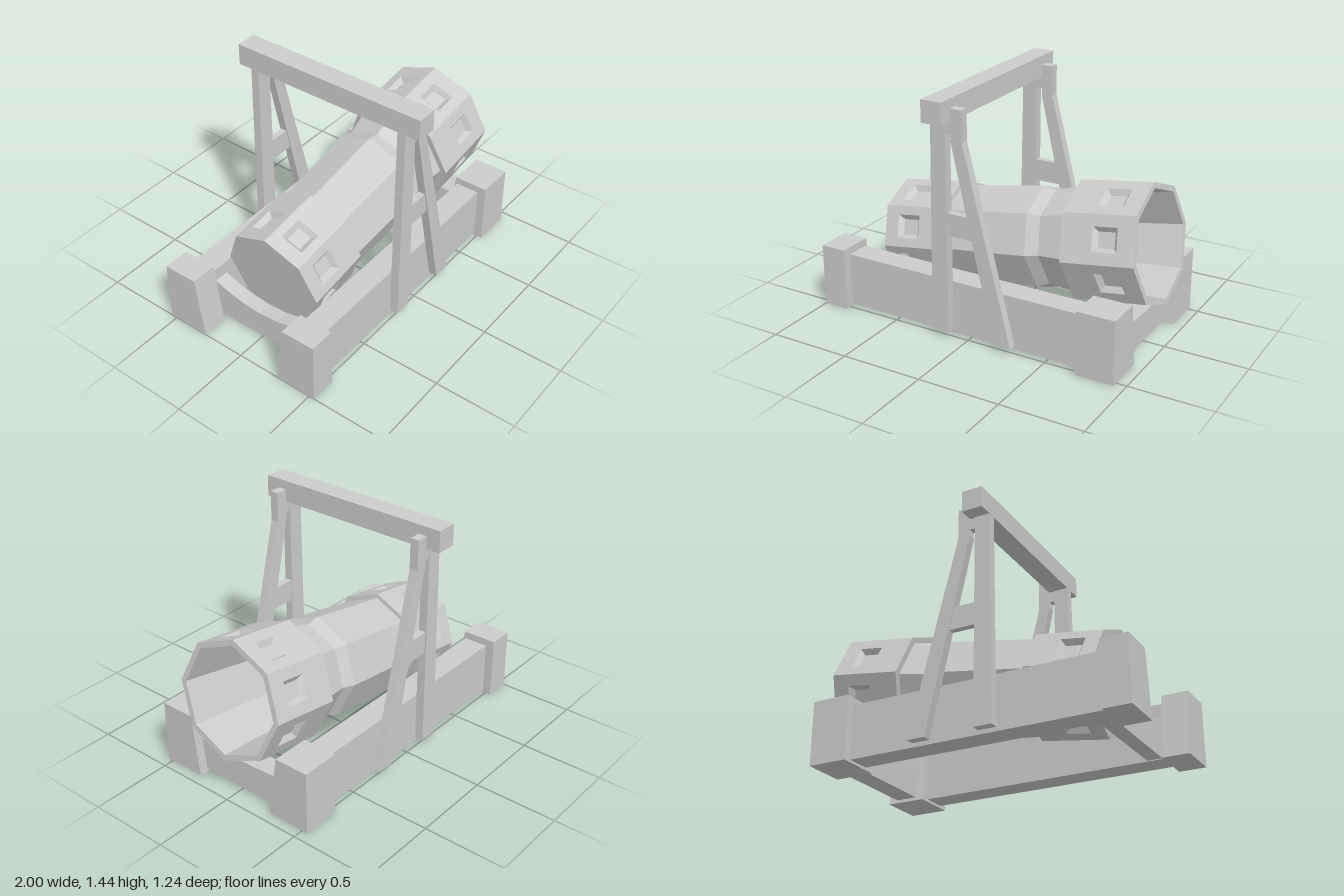
import * as THREE from 'three';

export function createModel() {
  const mat = new THREE.MeshStandardMaterial({ color: 0xcccccc, flatShading: true });
  const model = new THREE.Group();
  model.name = 'mortarOnCarriage';

  const add = (parent, name, geometry) => {
    const mesh = new THREE.Mesh(geometry, mat);
    mesh.name = name;
    parent.add(mesh);
    return mesh;
  };
  // box from its limits
  const box = (name, x0, x1, y0, y1, z0, z1) => {
    const g = new THREE.BoxGeometry(x1 - x0, y1 - y0, z1 - z0);
    g.translate((x0 + x1) / 2, (y0 + y1) / 2, (z0 + z1) / 2);
    return add(model, name, g);
  };
  const prism = (points, depth) => new THREE.ExtrudeGeometry(
    new THREE.Shape(points.map(p => new THREE.Vector2(...p))), { depth, bevelEnabled: false });

  // ---- barrel: eight-sided, built upright along y and then tipped over ----
  const barrel = new THREE.Group();
  barrel.name = 'barrel';
  barrel.position.set(-0.70, 0.367, 0);
  barrel.rotation.z = -THREE.MathUtils.degToRad(81.2);
  model.add(barrel);
  const lathe = (name, pts) => add(barrel, name,
    new THREE.LatheGeometry(pts.map(p => new THREE.Vector2(...p)), 8));

  lathe('breechCap', [[0, 0], [0.32, 0]]);
  lathe('barrelBody', [[0.32, 0.41], [0.294, 0.41], [0.313, 0.97], [0.29, 1.047], [0.32, 1.22], [0.36, 1.22]]);
  lathe('muzzleAndBore', [[0.36, 1.665], [0.325, 1.665], [0.27, 0.85], [0.27, 0.12], [0, 0.12]]);

  // eight-sided band with a sunken panel in every face
  const band = (name, R, s0, s1, centre) => {
    const pos = [];
    const apothem = R * Math.cos(Math.PI / 8), half = R * Math.sin(Math.PI / 8);
    const rect = (t, a, b, d) => [[-t, a, d], [t, a, d], [t, b, d], [-t, b, d]];
    const rings = [
      rect(half, s0, s1, apothem),
      rect(0.07, centre - 0.075, centre + 0.075, apothem),
      rect(0.045, centre - 0.05, centre + 0.05, apothem - 0.03),
    ];
    for (let k = 0; k < 8; k++) {
      const a = (k + 0.5) * Math.PI / 4, c = Math.cos(a), s = Math.sin(a);
      const put = ([t, y, d]) => pos.push(t * c + d * s, y, d * c - t * s);
      const quad = (p, q, r, v) => [p, q, r, p, r, v].forEach(put);
      for (let n = 0; n < 2; n++)
        for (let i = 0; i < 4; i++) {
          const j = (i + 1) % 4;
          quad(rings[n][i], rings[n][j], rings[n + 1][j], rings[n + 1][i]);
        }
      quad(...rings[2]);
    }
    const g = new THREE.BufferGeometry();
    g.setAttribute('position', new THREE.Float32BufferAttribute(pos, 3));
    g.computeVertexNormals();
    add(barrel, name, g);
  };
  band('breechBand', 0.32, 0, 0.41, 0.165);
  band('muzzleBand', 0.36, 1.22, 1.665, 1.485);

  // ---- carriage and frame, mirrored left and right of the barrel ----
  // block whose inner side leans outward towards the top
  const cornerBlock = (name, side, x0, x1) => {
    const pts = [[0.27, 0], [0.535, 0], [0.535, 0.385], [0.32, 0.385]].map(([z, y]) => [-z * side, y]);
    const g = prism(pts, x1 - x0);
    g.rotateY(Math.PI / 2);
    g.translate(x0, 0, 0);
    add(model, name, g);
  };
  for (const side of [1, -1]) {
    const z = (a, b) => (side > 0 ? [a, b] : [-b, -a]);
    box('sideRail', -0.92, 0.8, 0.015, 0.34, ...z(0.33, 0.48));
    cornerBlock('rearBlock', side, -1, -0.84);
    cornerBlock('frontBlock', side, 0.70, 0.935);

    // upright post, leaning strut and the ties between them
    const z0 = z(0.48, 0.533)[0];
    const upright = (name, pts) => add(model, name, prism(pts, 0.053).translate(0, 0, z0));
    upright('post', [[-0.22, 0.04], [-0.11, 0.04], [-0.107, 1.32], [-0.2, 1.32]]);
    upright('strut', [[0.19, 0.04], [0.297, 0.04], [0, 1.2], [0, 1.385], [-0.072, 1.385], [-0.072, 1.2]]);
    box('upperTie', -0.11, -0.07, 1.24, 1.32, ...z(0.485, 0.528));
    box('middleTie', -0.12, 0.05, 0.64, 0.775, ...z(0.485, 0.525));
  }
  box('topBeam', -0.2, -0.072, 1.31, 1.44, -0.62, 0.62);

  // cross members with a hollowed top edge
  const crossMember = (name, x0, x1, edge, middle) => {
    const pts = [[-0.478, 0.02], [0.478, 0.02]];
    for (let i = 0; i <= 8; i++) {
      const u = 1 - i / 4;
      pts.push([u * 0.478, middle + (edge - middle) * u * u]);
    }
    const g = prism(pts, x1 - x0);
    g.rotateY(Math.PI / 2);
    g.translate(x0, 0, 0);
    add(model, name, g);
  };
  crossMember('rearCrossMember', -0.82, -0.73, 0.33, 0.19);
  crossMember('frontCrossMember', 0.75, 0.88, 0.24, 0.2);

  return model;
}
